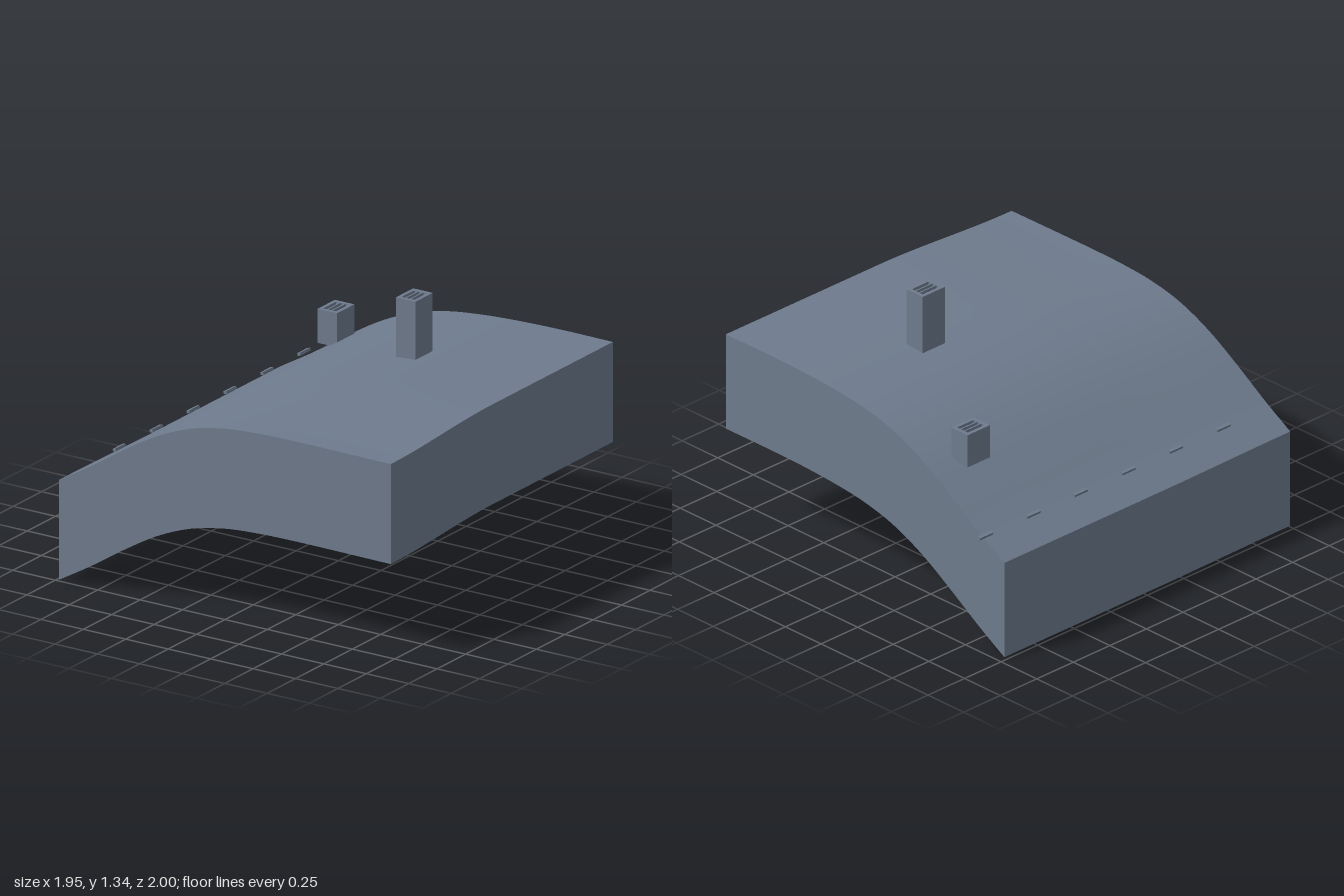
import * as THREE from 'three';

const slate = new THREE.MeshStandardMaterial({ color: 0x6e7b8d, side: THREE.DoubleSide });
slate.name = 'slate grey';

const LEFT = 0.977, FRONT = 1, BACK = -0.955, DEPTH = 0.522;

// Height of the lower rim along the front edge
const rim = new THREE.CubicInterpolant(
  [-0.98, -0.8, -0.6, -0.4, -0.2, 0, 0.2, 0.4, 0.7, 0.98],
  [0.007, 0.112, 0.24, 0.355, 0.435, 0.476, 0.491, 0.495, 0.494, 0.492], 1, new Float32Array(1));

// Roof height: the rim curve plus a gentle rise towards the back
function roofY(x, z) {
  const along = THREE.MathUtils.smoothstep(x, -0.7, 0.8);
  const rise = 1 - THREE.MathUtils.smoothstep(z, 0.1, 1);
  return rim.evaluate(x)[0] + DEPTH + THREE.MathUtils.lerp(-0.007, 0.037, along) * rise;
}

// Sheet of cells whose points come from a rule of u and v in 0..1
function sheet(name, nu, nv, rule) {
  const geo = new THREE.PlaneGeometry(1, 1, nu, nv);
  const pos = geo.attributes.position;
  for (let i = 0; i < pos.count; i++) {
    pos.setXYZ(i, ...rule(pos.getX(i) + 0.5, pos.getY(i) + 0.5));
  }
  geo.computeVertexNormals();
  const mesh = new THREE.Mesh(geo, slate);
  mesh.name = name;
  return mesh;
}

function box(name, w, h, d, x, y, z) {
  const mesh = new THREE.Mesh(new THREE.BoxGeometry(w, h, d), slate);
  mesh.name = name;
  mesh.position.set(x, y, z);
  return mesh;
}

// Square stack with a raised rim and two flue dividers
function chimney(name, x, z, y0, y1) {
  const g = new THREE.Group();
  g.name = name;
  const w = 0.115, d = 0.152, t = 0.02, lip = 0.02, y = y1 - lip / 2;
  g.add(box('stack', w, y1 - lip - y0, d, x, (y0 + y1 - lip) / 2, z));
  for (const s of [-1, 1]) {
    g.add(box('sideRim', t, lip, d, x + s * (w - t) / 2, y, z));
    g.add(box('endRim', w - 2 * t, lip, t, x, y, z + s * (d - t) / 2));
    g.add(box('flueDivider', 0.008, lip, d - 2 * t, x + s * 0.0135, y, z));
  }
  return g;
}

export function createModel() {
  const model = new THREE.Group();
  model.name = 'curvedRoof';
  const { lerp } = THREE.MathUtils;

  // Roof skin
  model.add(sheet('roofSurface', 48, 24, (u, v) => {
    const x = lerp(-LEFT, LEFT, u), z = lerp(FRONT, BACK, v);
    return [x, roofY(x, z), z];
  }));

  // Walls hanging from the roof edge, open underneath
  const wall = (name, x0, z0, x1, z1) => model.add(sheet(name, 48, 1, (u, v) => {
    const x = lerp(x0, x1, u), z = lerp(z0, z1, u);
    return [x, roofY(x, z) - DEPTH * (1 - v), z];
  }));
  wall('frontWall', -LEFT, FRONT, LEFT, FRONT);
  wall('leftWall', LEFT, FRONT, LEFT, BACK);
  wall('backWall', LEFT, BACK, -LEFT, BACK);
  wall('rightWall', -LEFT, BACK, -LEFT, FRONT);

  // Chimneys
  model.add(chimney('tallChimney', 0.243, -0.304, 1.0, 1.345));
  model.add(chimney('shortChimney', -0.492, -0.713, 0.83, 1.008));

  // Row of snow guards along the low eave
  for (let i = 0; i < 6; i++) {
    const guard = box('snowGuard', 0.018, 0.014, 0.09, -0.843, 0.625, -0.955 + i * 0.325);
    guard.rotation.z = 0.3;
    model.add(guard);
  }
  return model;
}
